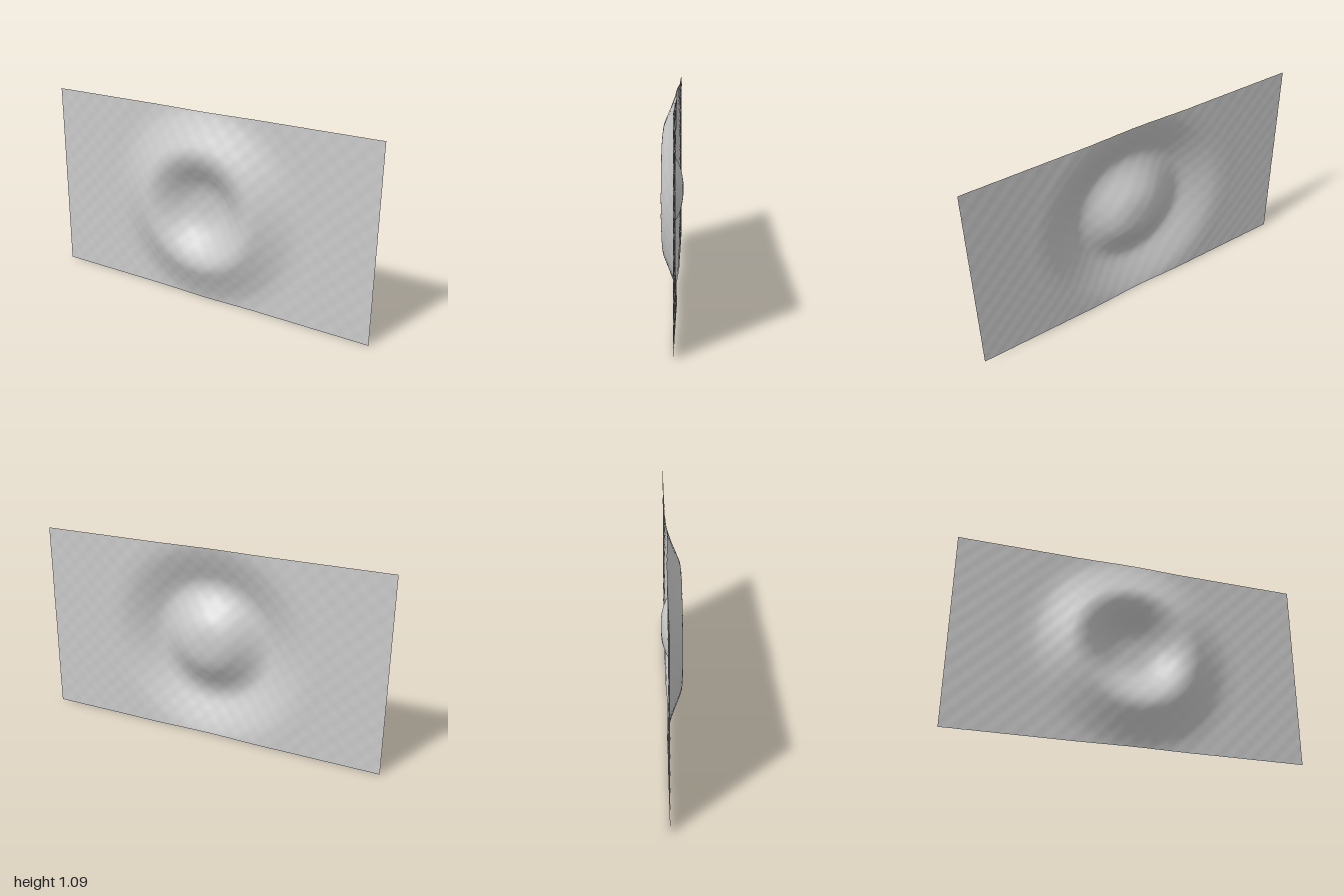
import * as THREE from 'three';

const WIDTH = 2, HEIGHT = 1.09, BASE_Z = -0.027;

// Radial profile of the ripple: dished centre, raised ring, long outer slope
const radii = [0, 0.05, 0.1, 0.145, 0.2, 0.25, 0.29, 0.32, 0.35, 0.39, 0.43, 0.5, 0.55, 0.62, 0.7, 1.3];
const depths = [-0.055, -0.053, -0.044, -0.027, 0.005, 0.034, 0.05, 0.055, 0.052, 0.038, 0.021, -0.006, -0.02, BASE_Z, BASE_Z, BASE_Z];
const profile = new THREE.CubicInterpolant(radii, depths, 1, new Float32Array(1));

// Fine woven unevenness over the whole sheet
const weave = (x, y) => 0.0008 * Math.sin(62 * x) * Math.sin(62 * y);

function makeSheet() {
  const geometry = new THREE.PlaneGeometry(WIDTH, HEIGHT, 200, 110);
  const p = geometry.attributes.position;
  for (let i = 0; i < p.count; i++) {
    const x = p.getX(i), y = p.getY(i);
    p.setZ(i, profile.evaluate(Math.hypot(x, y))[0] + weave(x, y));
  }
  geometry.translate(0, HEIGHT / 2, 0);
  geometry.computeVertexNormals();
  return geometry;
}

export function createModel() {
  const group = new THREE.Group();
  group.name = 'ripplePanel';
  const material = new THREE.MeshStandardMaterial({ color: 0xcccccc, side: THREE.DoubleSide });
  const sheet = new THREE.Mesh(makeSheet(), material);
  sheet.name = 'rippledSheet';
  group.add(sheet);
  return group;
}
